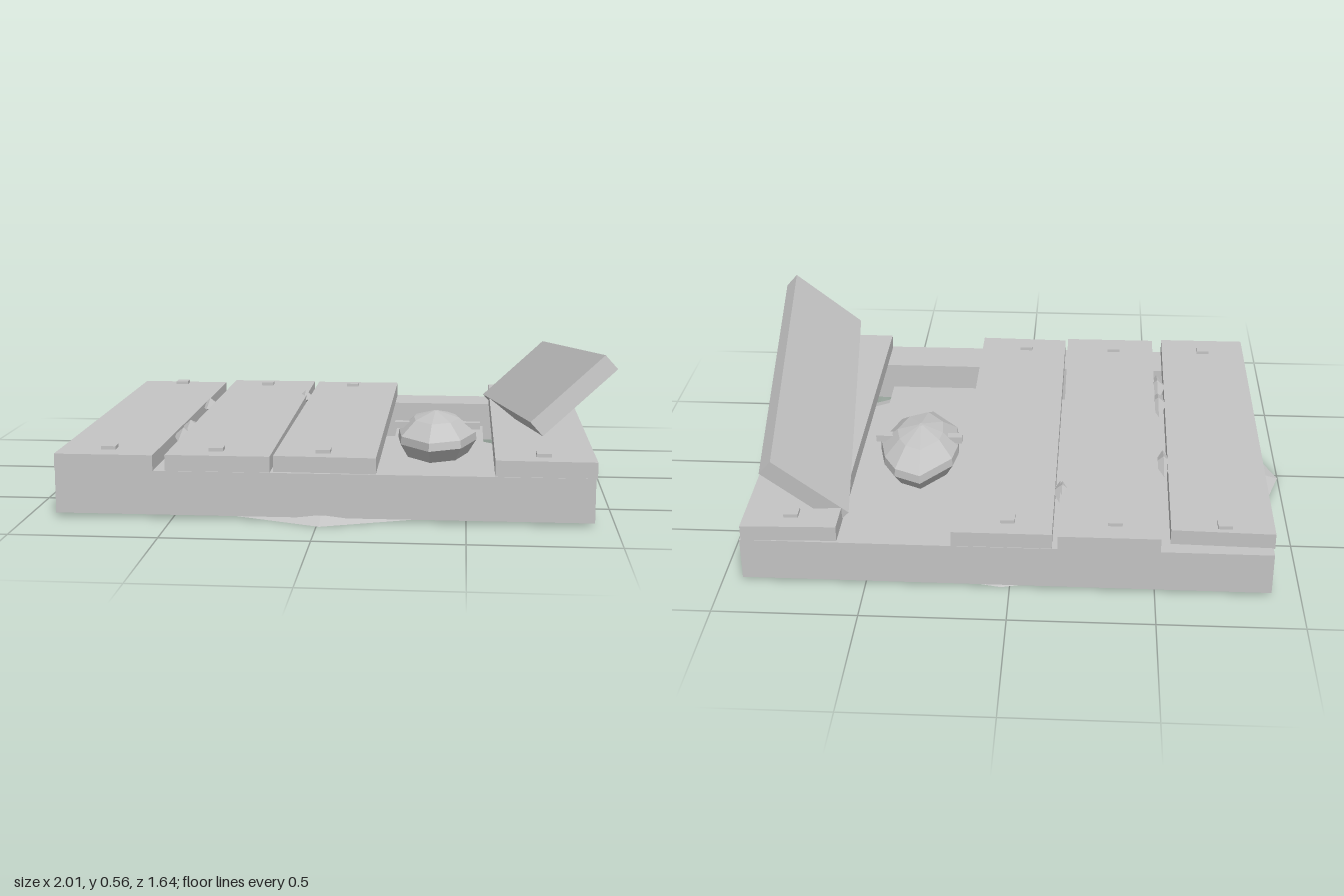
import * as THREE from 'three';
import { ConvexGeometry } from 'three/addons/geometries/ConvexGeometry.js';

export function createModel() {
  const model = new THREE.Group();
  const grey = new THREE.MeshStandardMaterial({ color: 0xc4c4c4 });
  grey.name = 'plain grey';

  const add = (name, geometry) => {
    const mesh = new THREE.Mesh(geometry, grey);
    mesh.name = name;
    model.add(mesh);
    return mesh;
  };
  const box = (name, w, h, d, x, y, z) => {
    const mesh = add(name, new THREE.BoxGeometry(w, h, d));
    mesh.position.set(x, y, z);
    return mesh;
  };
  // Upright prism from an outline of [x, z] points
  const prism = (name, outline, y0, y1) => {
    const shape = new THREE.Shape(outline.map(([x, z]) => new THREE.Vector2(x, -z)));
    const geometry = new THREE.ExtrudeGeometry(shape, { depth: y1 - y0, bevelEnabled: false });
    geometry.rotateX(-Math.PI / 2).translate(0, y0, 0);
    return add(name, geometry);
  };
  // Faceted solid from scaled copies of one outline, each given as [scale, y]
  const faceted = (name, outline, cx, cz, rings) => {
    const points = rings.flatMap(([s, y]) =>
      outline.map(([x, z]) => new THREE.Vector3(cx + (x - cx) * s, y, cz + (z - cz) * s)));
    return add(name, new ConvexGeometry(points));
  };

  // Irregular ground patch with a sloping rim
  faceted('groundPatch', [
    [1, -0.03], [0.86, 0.4], [0.45, 0.65], [0.01, 0.82], [-0.47, 0.63], [-0.84, 0.39],
    [-1, -0.02], [-0.87, -0.41], [-0.53, -0.67], [0.03, -0.81], [0.46, -0.72], [0.77, -0.45],
  ], 0, 0, [[1, 0], [0.92, 0.02]]);

  // Two beams carrying the boards
  prism('frontBeam', [[-0.905, 0.565], [0.925, 0.565], [0.93, 0.745], [-0.905, 0.75]], 0.012, 0.165);
  prism('backBeam', [[-0.9, -0.815], [0.93, -0.81], [0.935, -0.62], [-0.9, -0.625]], 0.012, 0.165);

  // Fixed boards, slightly out of square
  const boards = [
    [[-0.905, -0.77], [-0.55, -0.76], [-0.565, 0.755], [-0.905, 0.755]],
    [[-0.515, -0.82], [-0.165, -0.82], [-0.165, 0.745], [-0.525, 0.745]],
    [[-0.145, -0.81], [0.2, -0.81], [0.195, 0.74], [-0.155, 0.73]],
    [[0.595, -0.8], [0.925, -0.81], [0.935, 0.745], [0.595, 0.74]],
  ];
  boards.forEach((outline, i) => prism('board' + (i + 1), outline, 0.163, 0.22));

  // Square nail heads
  for (const x of [-0.735, -0.36, 0.01, 0.76]) {
    for (const z of [-0.72, 0.65]) box('nailHead', 0.05, 0.02, 0.05, x, 0.222, z);
  }

  // Low tray between the beams
  box('trayFloor', 0.36, 0.05, 1.17, 0.39, 0.046, -0.035);

  // Rock resting on the tray, with a bar across it
  faceted('rock', [
    [0.36, -0.34], [0.46, -0.29], [0.51, -0.2], [0.54, -0.07], [0.48, 0.11],
    [0.36, 0.18], [0.25, 0.05], [0.235, -0.1], [0.25, -0.2],
  ], 0.38, -0.08, [[0.78, 0.068], [1, 0.125], [0.98, 0.155], [0.58, 0.208], [0.05, 0.235]]);
  box('rockBar', 0.33, 0.025, 0.035, 0.388, 0.178, -0.08);

  // Faceted pebbles caught in the gaps between boards
  for (const [x, z, w, d] of [
    [-0.54, -0.28, 0.035, 0.1], [-0.535, 0.19, 0.035, 0.11],
    [-0.535, 0.34, 0.035, 0.11], [-0.172, -0.5, 0.035, 0.1],
  ]) {
    const pebble = add('gapPebble', new THREE.OctahedronGeometry(1));
    pebble.scale.set(w, 0.03, d);
    pebble.position.set(x, 0.205, z);
  }

  // Loose board leaning up at the side
  const across = new THREE.Vector3(0.25, 0.225, -0.05).normalize();
  const along = new THREE.Vector3(0.125, 0.12, 1.315).normalize();
  const normal = along.clone().cross(across).normalize();
  along.crossVectors(across, normal);
  const loose = box('looseBoard', 0.34, 0.064, 1.326, 0.788, 0.355, -0.038);
  loose.quaternion.setFromRotationMatrix(new THREE.Matrix4().makeBasis(across, normal, along));

  return model;
}
